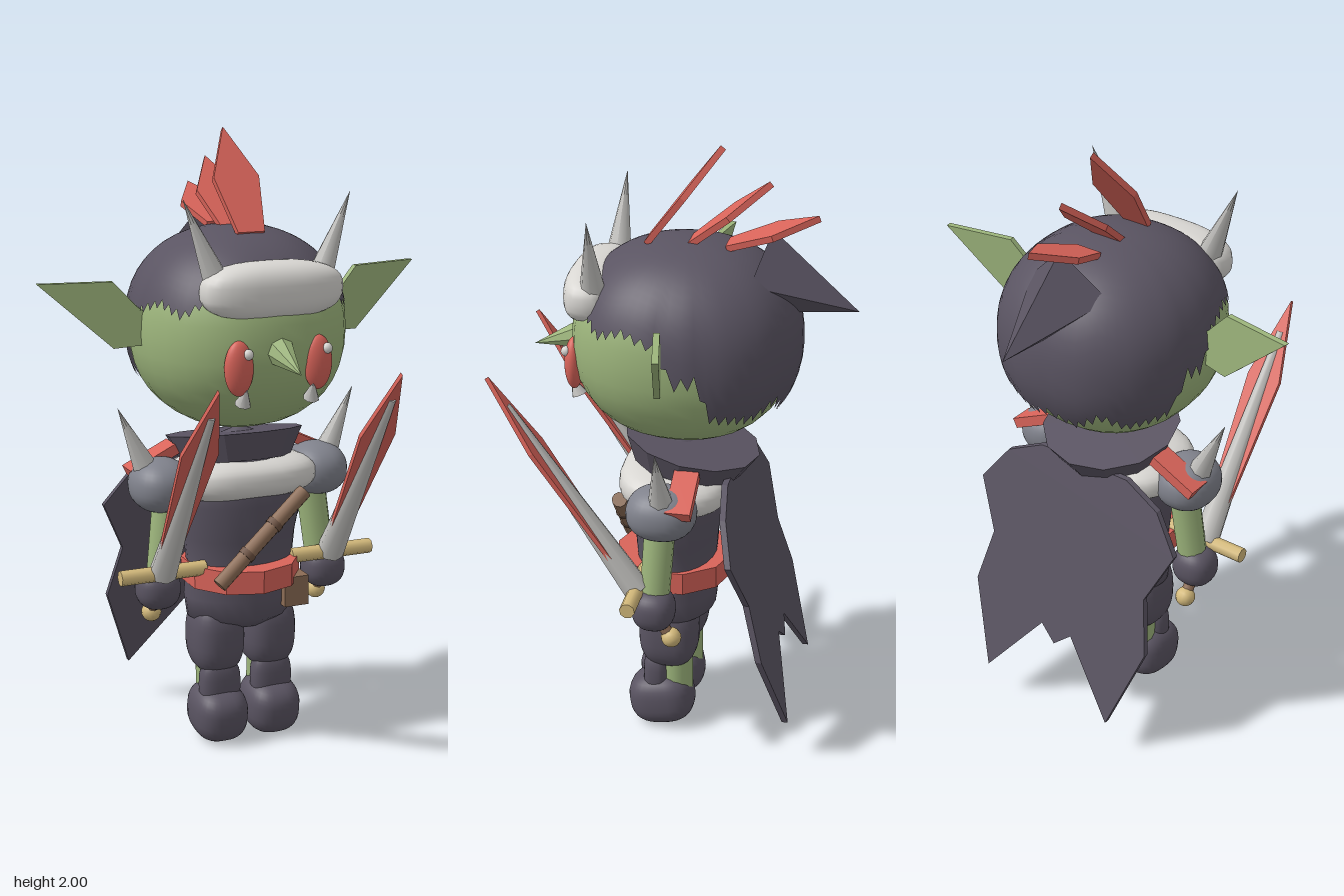
import * as THREE from 'three';
import { mergeVertices } from 'three/addons/utils/BufferGeometryUtils.js';

const mat = (name, color) => Object.assign(new THREE.MeshStandardMaterial({ color }), { name });
const V = (x, y, z) => new THREE.Vector3(x, y, z);

export function createModel() {
  const model = new THREE.Group();
  model.name = 'goblinWarrior';
  const dark = mat('darkCloth', 0x5a5462), skin = mat('greenSkin', 0x9db57c), red = mat('red', 0xd9645a);
  const fur = mat('whiteFur', 0xd8d6d2), horn = mat('horn', 0xc2c1be), steel = mat('greySteel', 0x80828c);
  const gold = mat('gold', 0xd4ba7c), brown = mat('brownLeather', 0x8c6c55), wrap = mat('darkLeather', 0x6d5140);
  dark.side = skin.side = red.side = THREE.DoubleSide;

  const add = (name, geo, material, pos = [0, 0, 0], parent = model) => {
    const m = new THREE.Mesh(geo, material);
    m.name = name;
    m.position.set(...pos);
    parent.add(m);
    return m;
  };
  const smooth = (g) => {
    g.deleteAttribute('normal');
    g.deleteAttribute('uv');
    const s = mergeVertices(g, 1e-4);
    s.computeVertexNormals();
    return s;
  };
  const flat = (g) => {
    const f = g.index ? g.toNonIndexed() : g;
    f.computeVertexNormals();
    return f;
  };
  const pw = (v, e) => Math.sign(v) * Math.abs(v) ** e;
  // rounded block: an ellipsoid pushed towards a box when e < 1
  const blob = (hx, hy, hz, e = 1) => {
    const g = new THREE.SphereGeometry(1, 28, 20), p = g.attributes.position;
    for (let i = 0; i < p.count; i++) p.setXYZ(i, hx * pw(p.getX(i), e), hy * pw(p.getY(i), e), hz * pw(p.getZ(i), e));
    return smooth(g);
  };
  // tapered rod from a to b
  const rod = (name, a, b, r0, r1, sides, material, faceted = false, parent = model) => {
    const dir = b.clone().sub(a);
    let g = new THREE.CylinderGeometry(r1, r0, dir.length(), sides);
    if (faceted) g = flat(g);
    const m = add(name, g, material, a.clone().add(b).multiplyScalar(0.5).toArray(), parent);
    m.quaternion.setFromUnitVectors(V(0, 1, 0), dir.normalize());
    return m;
  };
  // flat plate cut from an outline, centred on z = 0
  const plate = (pts, t) => {
    const s = new THREE.Shape(pts.map(([x, y]) => new THREE.Vector2(x, y)));
    return new THREE.ExtrudeGeometry(s, { depth: t, bevelEnabled: false }).translate(0, 0, -t / 2);
  };
  const mirrorPts = (half) => [...half, ...half.filter((q) => q[0] !== 0).reverse().map(([x, y]) => [-x, y])];

  // head
  add('head', blob(0.338, 0.318, 0.355, 0.9), skin, [0, 1.38, -0.015]);

  // hair cap with a jagged rim: [degrees from the front, rim height]
  const rim = [[0, 1.48], [20, 1.46], [38, 1.49], [52, 1.44], [68, 1.47], [84, 1.44], [92, 1.34], [102, 1.35],
    [110, 1.22], [135, 1.2], [150, 1.25], [165, 1.19], [180, 1.22]];
  const rimY = (d) => {
    const i = Math.max(1, rim.findIndex((r) => r[0] >= d));
    const [a, b] = [rim[i - 1], rim[i]];
    return a[1] + (b[1] - a[1]) * (d - a[0]) / (b[0] - a[0]);
  };
  const hair = new THREE.SphereGeometry(1, 64, 16), hp = hair.attributes.position, uv = hair.attributes.uv;
  for (let i = 0; i < hp.count; i++) {
    const a = uv.getX(i) * Math.PI * 2, x = -Math.cos(a), z = Math.sin(a);
    const deg = Math.min(180, Math.acos(Math.max(-1, Math.min(1, z))) * 180 / Math.PI);
    const t = (1 - uv.getY(i)) * Math.acos((rimY(deg) - 1.38) / 0.325);
    hp.setXYZ(i, 0.346 * pw(x * Math.sin(t), 0.9), 0.325 * pw(Math.cos(t), 0.9), 0.366 * pw(z * Math.sin(t), 0.9));
  }
  add('hair', smooth(hair), dark, [0, 1.38, -0.023]);
  rod('hairTuft', V(0, 1.61, -0.24), V(0, 1.5, -0.56), 0.145, 0, 4, dark, true);

  // crest of three plates, each [foot z, tip z, tip y]
  for (const [z0, z1, y1] of [[0.1, -0.13, 1.995], [-0.03, -0.28, 1.89], [-0.15, -0.43, 1.79]]) {
    const dy = y1 - 1.69, dz = z1 - z0, len = Math.hypot(dy, dz);
    const g = plate(mirrorPts([[0.045, 0], [0.077, len * 0.52], [0, len]]), 0.02);
    add('crestPlate', g, red, [0, 1.69, z0]).rotation.x = Math.atan2(dz, dy);
  }

  // fur headband and nose
  add('headband', blob(0.232, 0.088, 0.09, 0.75), fur, [0, 1.54, 0.262]);
  rod('nose', V(0, 1.365, 0.3), V(0, 1.315, 0.48), 0.055, 0, 8, skin, true);

  // torso, collar, belt
  const profile = [[0, 0.39], [0.12, 0.395], [0.18, 0.43], [0.19, 0.5], [0.18, 0.6], [0.19, 0.7], [0.215, 0.82],
    [0.2, 0.92], [0.15, 1.0], [0, 1.06]].map(([x, y]) => new THREE.Vector2(x, y));
  add('torso', new THREE.LatheGeometry(profile, 24).scale(1, 1, 0.72), dark, [0, 0, 0.01]);
  add('furCollar', blob(0.25, 0.075, 0.185, 0.75), fur, [0, 0.895, 0.005]).rotation.x = -0.08;
  add('neckCollar', flat(new THREE.CylinderGeometry(0.225, 0.18, 0.09, 12)), dark, [0, 0.985, -0.03]).rotation.x = -0.2;
  add('belt', flat(new THREE.CylinderGeometry(0.195, 0.195, 0.075, 10)), red, [0, 0.583, 0.018]);
  add('pouch', new THREE.BoxGeometry(0.085, 0.1, 0.07), brown, [0.145, 0.515, 0.115]);

  // club carried across the chest
  const c0 = V(-0.15, 0.59, 0.2), c1 = V(0.16, 0.86, 0.17);
  rod('club', c0, c1, 0.025, 0.025, 10, brown);
  for (const t of [0.3, 0.62]) {
    rod('clubBand', c0.clone().lerp(c1, t), c0.clone().lerp(c1, t + 0.05), 0.028, 0.028, 10, wrap);
  }

  // torn cape, sheared backwards towards the hem
  const cape = plate(mirrorPts([[0.17, 0.95], [0.3, 0.89], [0.39, 0.77], [0.31, 0.6], [0.35, 0.42], [0.25, 0.14],
    [0.06, 0.37], [0, 0.32]]), 0.02);
  const cp = cape.attributes.position;
  for (let i = 0; i < cp.count; i++) cp.setZ(i, cp.getZ(i) - 0.175 - (0.95 - cp.getY(i)) * 0.275);
  cape.computeVertexNormals();
  add('cape', cape, dark);

  for (const s of [1, -1]) {
    // face details
    add('eye', blob(0.047, 0.086, 0.03), red, [s * 0.132, 1.315, 0.315]);
    add('eyeGlint', new THREE.SphereGeometry(0.017, 10, 8), fur, [s * 0.132 + 0.022, 1.36, 0.335]);
    rod('tusk', V(s * 0.115, 1.2, 0.305), V(s * 0.112, 1.26, 0.33), 0.026, 0, 8, horn);
    rod('headHorn', V(s * 0.165, 1.55, 0.24), V(s * 0.277, 1.825, 0.23), 0.046, 0, 8, horn);
    const ear = plate([[0.28, 1.42], [0.345, 1.47], [0.42, 1.55], [0.655, 1.55], [0.42, 1.34], [0.3, 1.35]]
      .map(([x, y]) => [s * (x - 0.3), y]), 0.02);
    add('ear', ear, skin, [s * 0.3, 0, 0.012]).rotation.y = s * 0.19;

    // shoulder, arm, glove
    add('shoulderPad', blob(0.1, 0.087, 0.113, 0.9), steel, [s * 0.275, 0.888, 0.008]);
    rod('shoulderSpike', V(s * 0.31, 0.92, 0), V(s * 0.412, 1.15, 0), 0.045, 0, 8, horn);
    add('shoulderStrap', new THREE.BoxGeometry(0.17, 0.035, 0.08), red, [s * 0.28, 0.955, -0.06]).rotation.z = -s * 0.45;
    rod('arm', V(s * 0.25, 0.86, 0.015), V(s * 0.285, 0.57, 0.03), 0.05, 0.048, 12, skin);
    add('glove', blob(0.073, 0.07, 0.07, 0.85), dark, [s * 0.295, 0.55, 0.03]);

    // legs and boots
    add('trouserLeg', blob(0.09, 0.13, 0.1, 0.75), dark, [s * 0.092, 0.36, 0.02]);
    rod('shin', V(s * 0.092, 0.1, -0.005), V(s * 0.092, 0.3, -0.005), 0.055, 0.055, 12, skin);
    add('shinGuard', blob(0.07, 0.09, 0.045, 0.75), dark, [s * 0.092, 0.2, 0.06]);
    add('boot', blob(0.092, 0.092, 0.11, 0.75), dark, [s * 0.094, 0.1, 0.045]).rotation.x = 0.15;

    // short sword leaning forwards, modelled along y from the pommel
    const sword = new THREE.Group();
    sword.name = 'sword';
    sword.position.set(s * 0.297, 0.45, -0.027);
    sword.rotation.x = 0.593;
    model.add(sword);
    add('pommel', new THREE.SphereGeometry(0.033, 14, 10), gold, [0, 0, 0], sword);
    rod('grip', V(0, 0, 0), V(0, 0.2, 0), 0.02, 0.02, 8, brown, false, sword);
    rod('guard', V(-0.145, 0.2, 0), V(0.145, 0.2, 0), 0.025, 0.025, 8, gold, false, sword);
    rod('bladeCore', V(0, 0.2, 0), V(0, 0.93, 0), 0.046, 0.014, 8, horn, false, sword);
    add('bladeEdge', plate(mirrorPts([[0.03, 0.21], [0.06, 0.77], [0, 1.037]]), 0.015), red, [0, 0, 0], sword);
  }
  return model;
}
